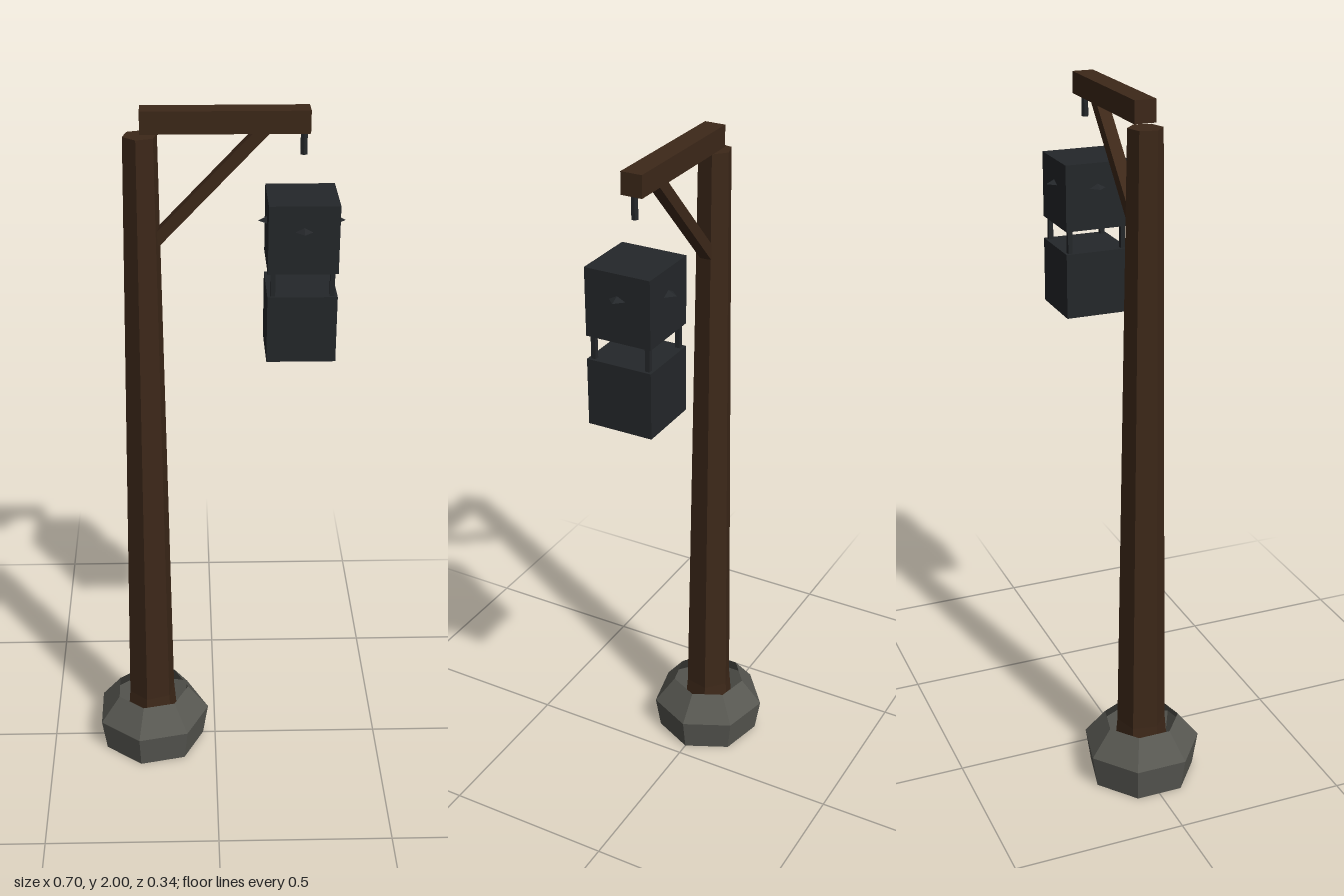
import * as THREE from 'three';

const material = (color) => new THREE.MeshStandardMaterial({ color, flatShading: true, side: THREE.DoubleSide });
const wood = material(0x3d2819);
const stone = material(0x585852);
const iron = material(0x24272a);

const POST_X = -0.195;
const LANTERN_X = 0.23;

function add(parent, name, geometry, mat, x, y, z = 0) {
  const mesh = new THREE.Mesh(geometry, mat);
  mesh.name = name;
  mesh.position.set(x, y, z);
  parent.add(mesh);
  return mesh;
}

// Faceted turned shape from [radius, height] pairs
function turned(profile, sides, startDegrees) {
  const points = profile.map(([r, y]) => new THREE.Vector2(r, y));
  return new THREE.LatheGeometry(points, sides, THREE.MathUtils.degToRad(startDegrees));
}

export function createModel() {
  const model = new THREE.Group();
  model.name = 'lampPost';

  // Seven-sided stone foot, open at the top around the post
  add(model, 'stoneBase', turned([[0, 0], [0.157, 0], [0.173, 0.1], [0.111, 0.178]], 7, 90), stone, POST_X, 0);

  // Tapered six-sided post with a flared root
  add(model, 'post', turned([[0, 0.005], [0.086, 0.005], [0.071, 0.18], [0.047, 1.93], [0, 1.93]], 6, 48), wood, POST_X, 0);

  // Arm and diagonal brace
  add(model, 'arm', new THREE.BoxGeometry(0.44, 0.06, 0.06), wood, 0.025, 1.97);
  const low = new THREE.Vector2(-0.16, 1.645);
  const high = new THREE.Vector2(0.135, 1.955);
  const span = high.clone().sub(low);
  const brace = add(model, 'brace', new THREE.BoxGeometry(span.length(), 0.032, 0.035), wood,
    (low.x + high.x) / 2, (low.y + high.y) / 2);
  brace.rotation.z = span.angle();

  // Hook under the arm's end
  add(model, 'hook', new THREE.CylinderGeometry(0.01, 0.01, 0.07, 6), iron, LANTERN_X, 1.913);

  // Lantern: two iron blocks joined by corner bars, with a pointed eave
  const lantern = new THREE.Group();
  lantern.name = 'lantern';
  lantern.position.x = LANTERN_X;
  model.add(lantern);
  const block = new THREE.BoxGeometry(0.187, 0.187, 0.187);
  add(lantern, 'lanternTop', block, iron, 0, 1.674);
  add(lantern, 'lanternBottom', block, iron, 0, 1.422);
  add(lantern, 'lanternEave', new THREE.ConeGeometry(0.117, 0.06, 4), iron, 0, 1.727);
  const bar = new THREE.BoxGeometry(0.013, 0.08, 0.013);
  for (const x of [-0.079, 0.079]) {
    for (const z of [-0.079, 0.079]) add(lantern, 'lanternBar', bar, iron, x, 1.548, z);
  }

  return model;
}
